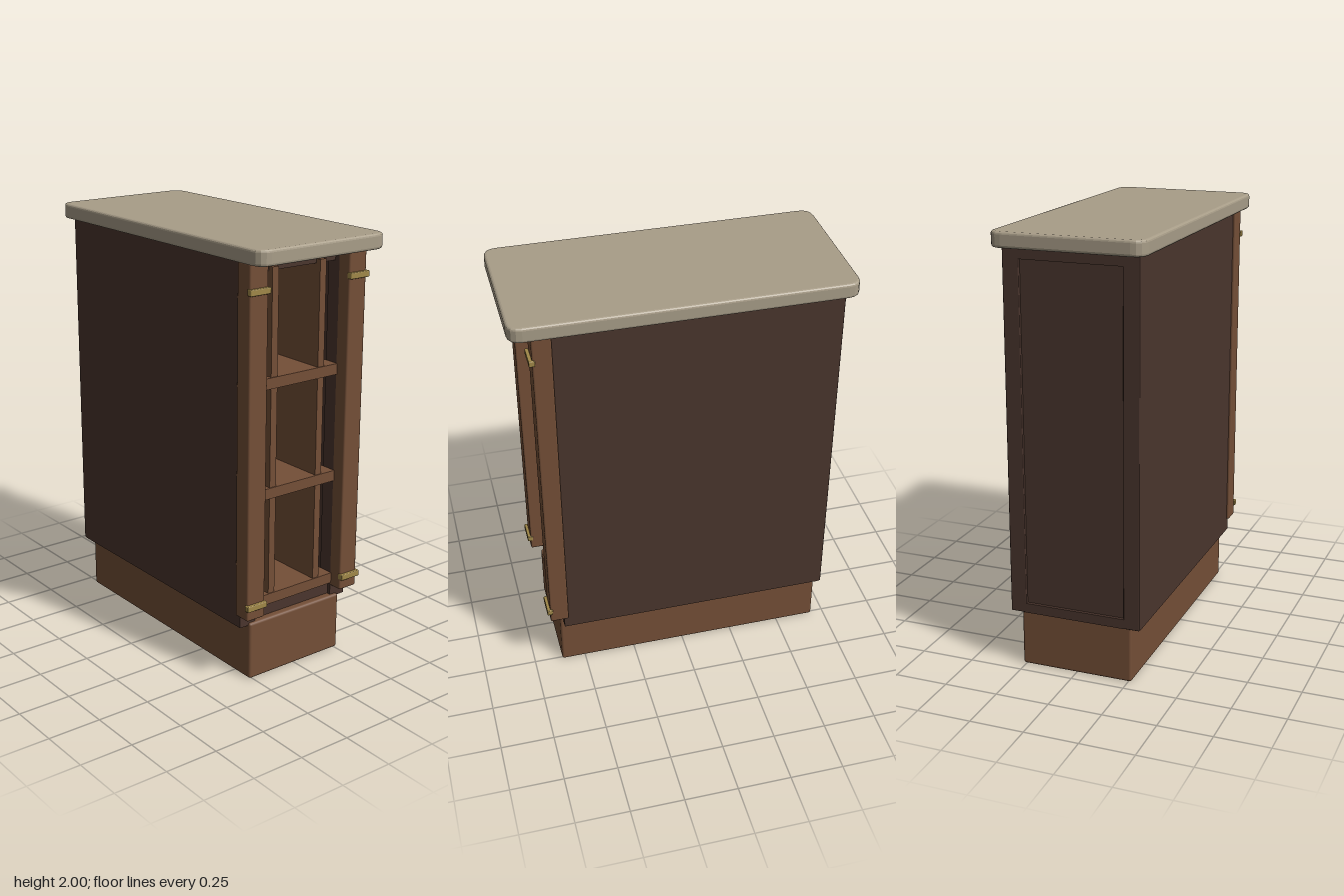
import * as THREE from 'three';
import { RoundedBoxGeometry } from 'three/addons/geometries/RoundedBoxGeometry.js';

const stone = new THREE.MeshStandardMaterial({ color: 0xa89d88 });
const wood = new THREE.MeshStandardMaterial({ color: 0x744f37 });
const darkWood = new THREE.MeshStandardMaterial({ color: 0x4a352d });
const brass = new THREE.MeshStandardMaterial({ color: 0xa08848 });

export function createModel() {
  const model = new THREE.Group();

  // Box given by its limits on each axis; radius rounds the edges
  function box(name, mat, [x0, x1], [y0, y1], [z0, z1], radius = 0) {
    const size = [x1 - x0, y1 - y0, z1 - z0];
    const geo = radius ? new RoundedBoxGeometry(...size, 2, radius) : new THREE.BoxGeometry(...size);
    const mesh = new THREE.Mesh(geo, mat);
    mesh.name = name;
    mesh.position.set((x0 + x1) / 2, (y0 + y1) / 2, (z0 + z1) / 2);
    model.add(mesh);
  }

  // The same box on the left (+x) and the right (-x)
  function pair(name, mat, [x0, x1], y, z, radius) {
    box(name + 'Left', mat, [x0, x1], y, z, radius);
    box(name + 'Right', mat, [-x1, -x0], y, z, radius);
  }

  // Worktop: rounded rectangle with a softened edge
  const bevel = 0.012, w = 0.35 - bevel, d = 0.763 - bevel, r = 0.05;
  const outline = new THREE.Shape();
  outline.moveTo(-w + r, -d);
  outline.lineTo(w - r, -d);
  outline.quadraticCurveTo(w, -d, w, -d + r);
  outline.lineTo(w, d - r);
  outline.quadraticCurveTo(w, d, w - r, d);
  outline.lineTo(-w + r, d);
  outline.quadraticCurveTo(-w, d, -w, d - r);
  outline.lineTo(-w, -d + r);
  outline.quadraticCurveTo(-w, -d, -w + r, -d);
  const slab = new THREE.ExtrudeGeometry(outline, {
    depth: 0.07 - 2 * bevel, bevelSize: bevel, bevelThickness: bevel, bevelSegments: 3, curveSegments: 4,
  });
  slab.rotateX(-Math.PI / 2);
  const worktop = new THREE.Mesh(slab, stone);
  worktop.name = 'worktop';
  worktop.position.y = 1.93 + bevel;
  model.add(worktop);

  // Plinth
  box('plinth', wood, [-0.265, 0.265], [0, 0.277], [-0.688, 0.615], 0.012);

  // Carcass: side walls, corner posts, floor, ceiling and recessed back panel
  pair('sideWall', darkWood, [0.275, 0.31], [0.265, 1.93], [-0.69, 0.59]);
  pair('frontPost', darkWood, [0.225, 0.31], [0.265, 1.93], [0.53, 0.6]);
  pair('backPost', darkWood, [0.235, 0.31], [0.265, 1.93], [-0.705, -0.64], 0.004);
  box('floor', darkWood, [-0.28, 0.28], [0.28, 0.335], [-0.69, 0.585]);
  box('ceiling', darkWood, [-0.28, 0.28], [1.9, 1.93], [-0.69, 0.58]);
  box('topRail', darkWood, [-0.225, 0.225], [1.865, 1.92], [0.53, 0.575]);
  box('backPanel', darkWood, [-0.28, 0.28], [0.28, 1.92], [-0.69, -0.655]);
  box('backTopRail', darkWood, [-0.24, 0.24], [1.88, 1.93], [-0.705, -0.66]);
  box('backBottomRail', darkWood, [-0.24, 0.24], [0.265, 0.31], [-0.705, -0.66]);

  // Shelves, slightly proud of the upright dividers
  [0.34, 0.85, 1.355].forEach((y, i) =>
    box('shelf' + (i + 1), wood, [-0.225, 0.225], [y, y + 0.05], [-0.655, 0.605]));
  pair('divider', wood, [0.115, 0.15], [0.36, 1.885], [-0.655, 0.6]);

  // Front stiles with brass straps
  pair('frontStile', wood, [0.225, 0.323], [0.325, 1.93], [0.58, 0.667], 0.008);
  for (const [place, y] of [['lower', 0.39], ['upper', 1.81]])
    pair(place + 'Strap', brass, [0.222, 0.33], [y - 0.014, y + 0.014], [0.655, 0.682], 0.004);

  return model;
}
